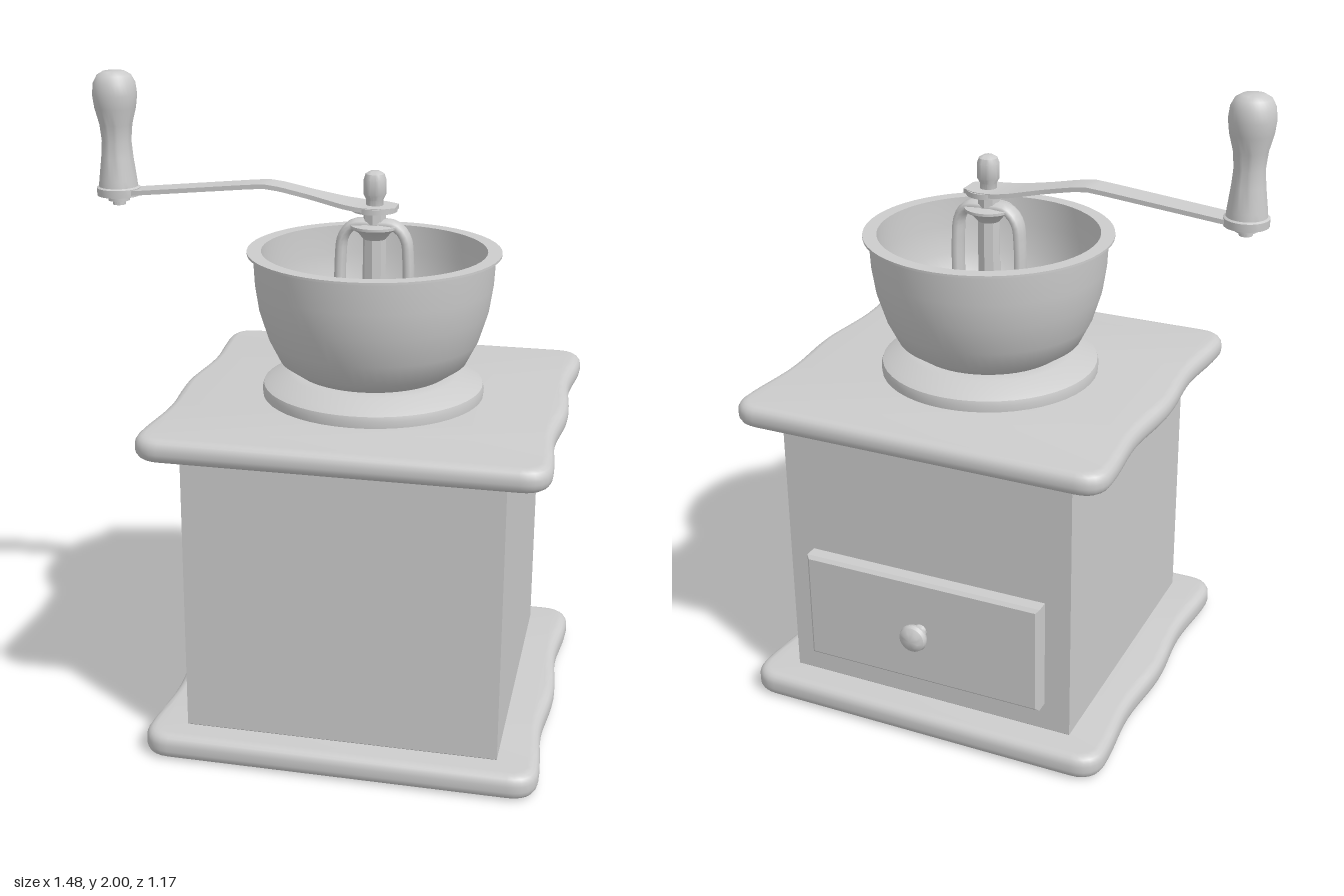
import * as THREE from 'three';
import { toCreasedNormals } from 'three/addons/utils/BufferGeometryUtils.js';

const CX = 0.133, CZ = 0.01; // vertical axis of the mill
const mat = new THREE.MeshStandardMaterial({ color: 0xcccccc, side: THREE.DoubleSide });

function add(parent, name, geo, x = 0, y = 0, z = 0) {
  const mesh = new THREE.Mesh(geo, mat);
  mesh.name = name;
  mesh.position.set(x, y, z);
  parent.add(mesh);
  return mesh;
}

function lathe(points, segments = 48) {
  const profile = points.map(([r, y]) => new THREE.Vector2(r, y));
  return toCreasedNormals(new THREE.LatheGeometry(profile, segments), 0.6);
}

// Linear lookup in a list of [x, value] pairs
function sample(table, x) {
  for (let i = 1; i < table.length; i++) {
    const [x0, v0] = table[i - 1], [x1, v1] = table[i];
    if (x <= x1) return v0 + (v1 - v0) * THREE.MathUtils.clamp((x - x0) / (x1 - x0), 0, 1);
  }
  return table[table.length - 1][1];
}

// Board with rounded corners, wavy left and right sides and a rounded rim
function plate(height) {
  const b = 0.03, w = 0.603 - b, d = 0.575 - b, r = 0.055, n = 24;
  const shape = new THREE.Shape();
  const wave = (t) => 0.017 * Math.sin(t * Math.PI * 2) ** 2;
  shape.moveTo(-w + r, -d);
  shape.lineTo(w - r, -d);
  shape.quadraticCurveTo(w, -d, w, -d + r);
  for (let i = 1; i <= n; i++) shape.lineTo(w - wave(i / n), -d + r + (2 * (d - r) * i) / n);
  shape.quadraticCurveTo(w, d, w - r, d);
  shape.lineTo(-w + r, d);
  shape.quadraticCurveTo(-w, d, -w, d - r);
  for (let i = 1; i <= n; i++) shape.lineTo(-w + wave(i / n), d - r - (2 * (d - r) * i) / n);
  shape.quadraticCurveTo(-w, -d, -w + r, -d);
  const geo = new THREE.ExtrudeGeometry(shape, {
    depth: height - 2 * b, bevelSize: b, bevelThickness: b, bevelSegments: 4, curveSegments: 6,
  });
  geo.translate(0, 0, b).rotateX(-Math.PI / 2);
  return toCreasedNormals(geo, 0.7);
}

// Box with small chamfers; the outline lies in x and y, depth runs along +z
function chamferedPanel(width, height, depth, c) {
  const w = width / 2 - c, h = height / 2 - c;
  const shape = new THREE.Shape([[-w, -h], [w, -h], [w, h], [-w, h]].map(([x, y]) => new THREE.Vector2(x, y)));
  return new THREE.ExtrudeGeometry(shape, {
    depth: depth - 2 * c, bevelSize: c, bevelThickness: c, bevelSegments: 1,
  }).translate(0, 0, c);
}

// Flat bent arm, wider around the spindle
function crankArm() {
  const x0 = -0.69, x1 = 0.2;
  const heights = [[x0, 1.628], [-0.6, 1.637], [-0.25, 1.672], [-0.2, 1.676], [-0.15, 1.67], [0.04, 1.63], [0.1, 1.622], [x1, 1.62]];
  const widths = [[x0, 0.035], [-0.6, 0.04], [-0.06, 0.042], [0, 0.05], [0.08, 0.062], [0.15, 0.062], [x1, 0.035]];
  const geo = new THREE.BoxGeometry(x1 - x0, 0.014, 2, 40, 1, 1);
  geo.translate((x0 + x1) / 2, 0, 0);
  const p = geo.attributes.position;
  for (let i = 0; i < p.count; i++) {
    const x = p.getX(i);
    p.setXYZ(i, x, p.getY(i) + sample(heights, x), p.getZ(i) * sample(widths, x));
  }
  return toCreasedNormals(geo, 0.6);
}

export function createModel() {
  const model = new THREE.Group();
  model.name = 'coffeeMill';

  // Wooden case
  add(model, 'basePlate', plate(0.08), CX, 0, CZ);
  add(model, 'topPlate', plate(0.072), CX, 0.968, CZ);
  const body = chamferedPanel(0.955, 0.96, 0.9, 0.008);
  add(model, 'body', body.rotateX(-Math.PI / 2), CX, 0.075, 0.015);

  // Drawer in the back, with its knob
  const drawer = new THREE.Group();
  drawer.name = 'drawer';
  drawer.position.set(CX, 0.355, -0.455);
  drawer.rotation.y = Math.PI;
  model.add(drawer);
  add(drawer, 'drawerFront', chamferedPanel(0.79, 0.36, 0.06, 0.01));
  const knob = lathe([[0.022, 0], [0.018, 0.015], [0.026, 0.026], [0.041, 0.036], [0.045, 0.048],
    [0.041, 0.06], [0.026, 0.07], [0, 0.074]], 24);
  add(drawer, 'drawerKnob', knob.rotateX(Math.PI / 2), 0, 0.01, 0.058);

  // Foot ring and hopper bowl
  add(model, 'bowlFoot', lathe([[0.34, 1.035], [0.342, 1.06], [0.338, 1.075], [0.32, 1.085], [0.262, 1.108],
    [0.245, 1.112], [0.2, 1.112]]), CX, 0, CZ);
  add(model, 'bowl', lathe([[0.2, 1.1], [0.235, 1.115], [0.288, 1.152], [0.322, 1.22], [0.35, 1.31], [0.362, 1.39],
    [0.367, 1.483], [0.385, 1.483], [0.385, 1.49], [0.342, 1.49], [0.338, 1.4], [0.325, 1.31], [0.298, 1.23],
    [0.262, 1.175], [0.205, 1.14], [0.2, 1.12], [0.185, 1.12], [0, 1.12]], 56), CX, 0, CZ);

  // Arched bracket standing in the bowl
  const half = [[0.105, 1.11], [0.105, 1.3], [0.104, 1.46], [0.095, 1.53], [0.065, 1.565]];
  const path = [...half.map(([x, y]) => new THREE.Vector3(-x, y, 0)), new THREE.Vector3(0, 1.57, 0),
    ...half.reverse().map(([x, y]) => new THREE.Vector3(x, y, 0))];
  const arch = new THREE.TubeGeometry(new THREE.CatmullRomCurve3(path), 60, 0.017, 10);
  add(model, 'bracket', arch, CX, 0, CZ).scale.z = 1.9;

  // Spindle with collar, washer and top nut
  const shaft = new THREE.CylinderGeometry(0.034, 0.038, 0.5, 8).toNonIndexed();
  shaft.computeVertexNormals();
  add(model, 'spindle', shaft, CX, 1.37, CZ);
  add(model, 'collar', lathe([[0.034, 1.525], [0.05, 1.545], [0.074, 1.56], [0.074, 1.568], [0.036, 1.572]], 32), CX, 0, CZ);
  add(model, 'crankWasher', new THREE.CylinderGeometry(0.068, 0.068, 0.016, 32), CX, 1.618, CZ);
  add(model, 'topNut', lathe([[0.026, 1.61], [0.026, 1.645], [0.034, 1.66], [0.034, 1.705], [0.028, 1.722],
    [0.015, 1.73], [0, 1.73]], 24), CX, 0, CZ);

  // Crank arm and grip
  add(model, 'crankArm', crankArm(), 0, 0, CZ);
  add(model, 'crankGrip', lathe([[0, 1.622], [0.066, 1.622], [0.067, 1.646], [0.06, 1.65], [0.058, 1.67], [0.049, 1.74],
    [0.045, 1.79], [0.05, 1.84], [0.063, 1.89], [0.068, 1.93], [0.064, 1.965], [0.052, 1.988], [0.034, 1.999],
    [0, 2]], 32), -0.672, 0, CZ);
  add(model, 'gripBolt', lathe([[0, 1.592], [0.02, 1.592], [0.02, 1.605], [0.033, 1.605], [0.033, 1.625]], 16), -0.672, 0, CZ);

  return model;
}
